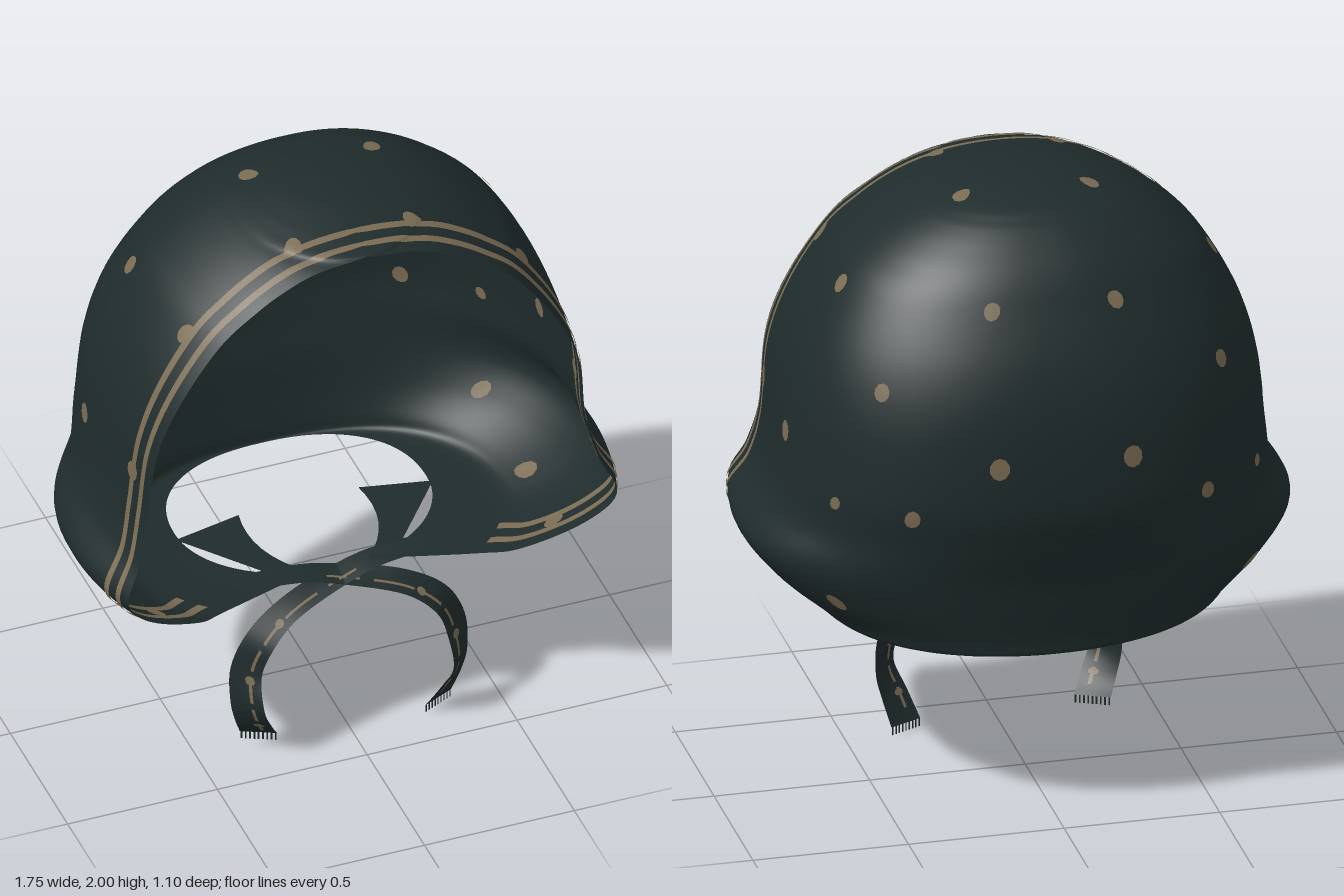
import * as THREE from 'three';

const cloth = new THREE.MeshStandardMaterial({ color: 0x1f2b2c, side: THREE.DoubleSide });
cloth.name = 'dark cloth';
const tan = new THREE.MeshStandardMaterial({ color: 0x7a6b52, side: THREE.DoubleSide });
tan.name = 'tan print';

// Level sections from crown to neck: y, half width, back z, rim x, rim z, z of widest point
const ROWS = [
  [2.0, 0, 0.12, 0, 0.12, 0.12],
  [1.99, 0.125, 0.0, 0, 0.25, 0.12],
  [1.97, 0.215, -0.095, 0, 0.36, 0.12],
  [1.955, 0.265, -0.145, 0, 0.43, 0.11],
  [1.94, 0.305, -0.175, 0, 0.49, 0.1],
  [1.92, 0.35, -0.21, 0.16, 0.49, 0.1],
  [1.88, 0.42, -0.26, 0.275, 0.495, 0.1],
  [1.82, 0.5, -0.32, 0.38, 0.5, 0.1],
  [1.73, 0.59, -0.38, 0.495, 0.505, 0.1],
  [1.55, 0.69, -0.475, 0.625, 0.51, 0.1],
  [1.36, 0.745, -0.53, 0.705, 0.508, 0.1],
  [1.12, 0.77, -0.55, 0.73, 0.495, 0.1],
  [0.97, 0.8, -0.52, 0.765, 0.52, 0.14],
  [0.84, 0.875, -0.48, 0.815, 0.55, 0.2],
  [0.72, 0.8, -0.455, 0.72, 0.51, 0.18],
  [0.62, 0.68, -0.435, 0.54, 0.44, 0.14],
  [0.575, 0.6, -0.43, 0.42, 0.36, 0.06],
  [0.565, 0.42, -0.425, 0.1, 0.25, -0.08],
];
const LAST = ROWS.length - 1;
const FRONT = 0.4; // share of each half section that lies ahead of its widest point
const { clamp } = THREE.MathUtils;

// Smoothly interpolated section at row t
function section(t) {
  const i = Math.min(Math.floor(t), LAST - 1), f = t - i;
  const row = (k) => ROWS[clamp(k, 0, LAST)];
  return ROWS[0].map((_, c) => {
    const [a, b, d, e] = [row(i - 1)[c], row(i)[c], row(i + 1)[c], row(i + 2)[c]];
    const v = b + 0.5 * f * (d - a + f * (2 * a - 5 * b + 4 * d - e + f * (3 * (b - d) + e - a)));
    return clamp(v, Math.min(b, d), Math.max(b, d));
  });
}
const rimAngle = (w, xr) => (w > 0 ? Math.asin(Math.min(xr / w, 0.995)) : 0);

// Point on the hood: t runs crown to neck, s = 0 at the back and +-1 at the rim
function hood(t, s) {
  t = clamp(t, 0, LAST);
  s = clamp(s, -1, 1);
  const [y, w, zb, xr, zf, zc] = section(t);
  const k = 1 - Math.abs(s), a0 = rimAngle(w, xr);
  let x, z;
  if (k < FRONT) {
    const a = a0 + (Math.PI / 2 - a0) * (k / FRONT);
    x = w * Math.sin(a);
    z = zc + ((zf - zc) * Math.cos(a)) / Math.cos(a0);
  } else {
    const a = (Math.PI / 2) * ((1 - k) / (1 - FRONT));
    x = w * Math.pow(Math.max(Math.sin(a), 0), 2 / 2.3);
    z = zc - (zc - zb) * Math.pow(Math.max(Math.cos(a), 0), 2 / 2.3);
  }
  return new THREE.Vector3(s < 0 ? -x : x, y, z);
}
function tangents(t, s) {
  const e = 0.01, t0 = clamp(t - e, 0, LAST), t1 = clamp(t + e, 0, LAST);
  const s0 = clamp(s - e, -1, 1), s1 = clamp(s + e, -1, 1);
  return [
    hood(t1, s).sub(hood(t0, s)).divideScalar(t1 - t0),
    hood(t, s1).sub(hood(t, s0)).divideScalar(s1 - s0),
  ];
}
function raised(t, s, h) {
  const [a, b] = tangents(t, s);
  return hood(t, s).addScaledVector(a.cross(b).normalize(), h);
}

// Mesh over a grid of points fn(u, v), u and v from 0 to 1
function grid(name, mat, nu, nv, fn) {
  const pos = [], idx = [];
  for (let i = 0; i <= nu; i++)
    for (let j = 0; j <= nv; j++) pos.push(...fn(i / nu, j / nv).toArray());
  for (let i = 0; i < nu; i++)
    for (let j = 0; j < nv; j++) {
      const a = i * (nv + 1) + j, b = a + nv + 1;
      idx.push(a, b, a + 1, b, b + 1, a + 1);
    }
  const g = new THREE.BufferGeometry();
  g.setAttribute('position', new THREE.Float32BufferAttribute(pos, 3));
  g.setIndex(idx);
  g.computeVertexNormals();
  const m = new THREE.Mesh(g, mat);
  m.name = name;
  return m;
}

// Parameter s at distance d behind the rim plane
function behindRim(t, d) {
  const [, w, , xr, zf, zc] = section(t), a0 = rimAngle(w, xr);
  const z = Math.min((t < 4 ? 0.49 : zf) - d, zf);
  const q = zf - zc > 1e-6 ? (z - zc) / (zf - zc) : 1;
  const a = Math.acos(clamp(q * Math.cos(a0), -1, 1));
  return 1 - (FRONT * (a - a0)) / (Math.PI / 2 - a0);
}
function rimStripe(side, d0, d1, h) {
  let start = 0;
  while (start < 4 && section(start)[4] < 0.49 - d1) start += 0.02;
  return grid('rimStripe', tan, 110, 2, (u, v) => {
    const t = start + (16 - start) * u;
    return raised(t, side * behindRim(t, d0 + (d1 - d0) * v), h);
  });
}

// Round print mark laid on the cloth nearest to a given place
function spot(target, r, h) {
  let best = Infinity, t0 = 0, s0 = 0;
  for (let t = 0.5; t < LAST; t += 0.1)
    for (let s = -0.99; s < 1; s += 0.02) {
      const d = hood(t, s).distanceToSquared(target);
      if (d < best) [best, t0, s0] = [d, t, s];
    }
  const [a, b] = tangents(t0, s0), la = a.length(), lb = b.length();
  return grid('spot', tan, 2, 10, (u, v) => {
    const ang = v * Math.PI * 2;
    return raised(t0 + (u * r * 1.15 * Math.cos(ang)) / la, s0 + (u * r * Math.sin(ang)) / lb, h);
  });
}

// Ribbon tie with a printed line, marks and a fringed end
function tie(side, drop) {
  const V = (x, y, z) => new THREE.Vector3(x * side, y, z);
  const path = new THREE.CatmullRomCurve3([
    V(-0.3, 0.572, 0.24), V(-0.12, 0.565, 0.25), V(0, 0.545, 0.27), V(0.2, 0.5, 0.33), V(0.3, 0.43, 0.36),
    V(0.35, 0.32, 0.36), V(0.355, 0.2, 0.385), V(0.33, 0.12, 0.37), V(0.3, 0.035 + drop, 0.335),
  ]);
  const across = new THREE.CatmullRomCurve3([
    V(0, -0.01, 0.07), V(0, -0.015, 0.08), V(-0.01, -0.025, 0.08), V(-0.025, -0.045, 0.07), V(-0.055, -0.05, 0.065),
    V(-0.08, -0.025, 0.06), V(-0.08, 0, 0.09), V(-0.095, 0, 0.07), V(-0.105, 0, 0.05),
  ]);
  const at = (u, k, h = 0) => {
    const w = across.getPoint(u), n = path.getTangent(u).cross(w).normalize();
    return path.getPoint(u).addScaledVector(w, k).addScaledVector(n, h);
  };
  const g = new THREE.Group();
  g.name = side > 0 ? 'leftTie' : 'rightTie';
  g.add(grid('ribbon', cloth, 48, 4, (u, v) => at(u, v - 0.5)));
  for (const h of [-0.003, 0.003]) {
    for (let i = 0; i < 7; i++)
      g.add(grid('tieLine', tan, 6, 1, (u, v) => at(0.2 + i * 0.11 + u * 0.085, 0.12 + v * 0.1, h)));
    for (const c of [0.42, 0.65, 0.88])
      g.add(grid('tieMark', tan, 1, 8, (u, v) =>
        at(c + u * 0.016 * Math.cos(v * 6.2832), 0.15 + u * 0.16 * Math.sin(v * 6.2832), h)));
  }
  for (let i = 0; i < 9; i++)
    g.add(grid('fringe', cloth, 1, 1, (u, v) => {
      const p = at(1, -0.48 + i * 0.115 + v * 0.05);
      p.y -= u * 0.027;
      return p;
    }));
  return g;
}

// Pointed cloth flap folded under the chin
function chinFlap(side) {
  const V = (x, z) => new THREE.Vector3(x * side, 0.567, z);
  const outer = new THREE.LineCurve3(V(0.43, -0.05), V(0.2, 0.24));
  const inner = new THREE.QuadraticBezierCurve3(V(0.2, -0.1), V(0.24, 0.1), V(0.1, 0.25));
  return grid('chinFlap', cloth, 8, 2, (u, v) => outer.getPoint(u).lerp(inner.getPoint(u), v));
}

export function createModel() {
  const model = new THREE.Group();
  model.name = 'bonnet';
  model.add(grid('hood', cloth, LAST * 6, 80, (u, v) => hood(u * LAST, v * 2 - 1)));

  // Printed marks on one half, mirrored to the other: x, y, z, radius
  const marks = [
    [0.21, 1.97, 0, 0.028], [0.6, 1.72, 0, 0.028], [0.2, 1.73, -0.36, 0.026], [0.54, 1.48, -0.34, 0.026],
    [0.21, 1.26, -0.53, 0.032], [0.48, 1.09, -0.44, 0.026], [0.72, 1.09, -0.28, 0.02], [0.77, 1.21, 0.045, 0.03],
    [0.68, 0.65, 0.08, 0.036], [0.64, 0.74, -0.22, 0.03], [0.66, 0.66, 0.38, 0.03],
    [0.2, 1.95, 0.375, 0.03], [0.54, 1.7, 0.38, 0.03], [0.74, 1.24, 0.39, 0.03],
  ];
  for (const side of [-1, 1]) {
    for (const h of [-0.005, 0.005]) {
      for (const [x, y, z, r] of marks) model.add(spot(new THREE.Vector3(x * side, y, z), r, h));
      model.add(rimStripe(side, 0.035, 0.057, h), rimStripe(side, 0.092, 0.116, h));
    }
    model.add(chinFlap(side));
  }

  model.add(tie(1, -0.008), tie(-1, 0.018));
  return model;
}
